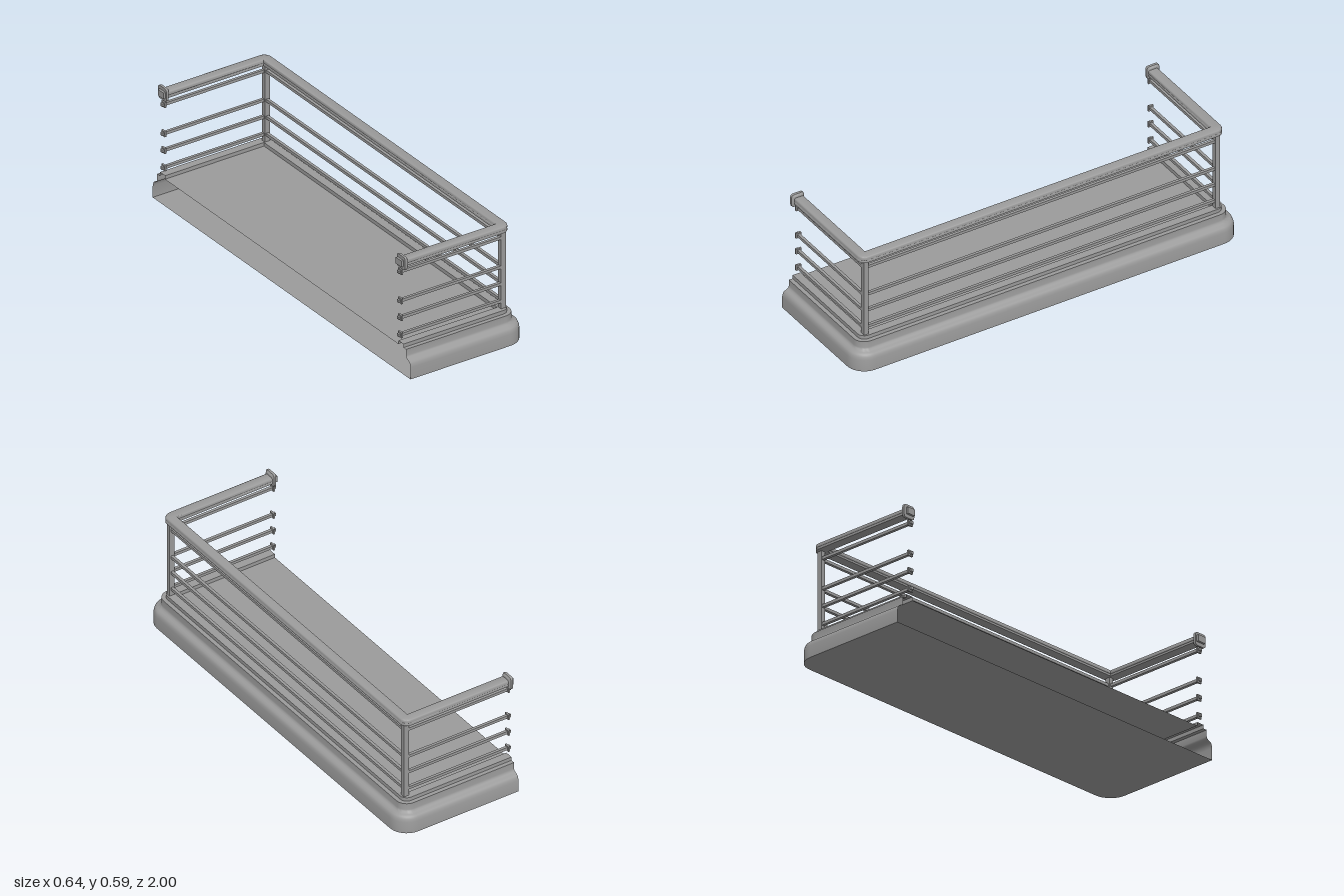
import * as THREE from 'three';
import { toCreasedNormals } from 'three/addons/utils/BufferGeometryUtils.js';

const HX = 0.318, HZ = 1, BACK = -0.307, R = 0.09;
const BAR_END = -0.318, RAIL_X = 0.241, RAIL_Z = 0.923, BAR_Z = 0.918;
const grey = new THREE.MeshStandardMaterial({ color: 0x9b9b9b, side: THREE.DoubleSide });

// U-shaped outline, inset by d, open towards -x; returns [x, z] pairs
function outline(d) {
  const r = Math.max(R - d, 0), cx = HX - d - r, cz = HZ - d - r, n = 10;
  const half = [[BACK, HZ - d]];
  for (let i = 0; i <= n; i++) {
    const a = (Math.PI / 2) * (1 - i / n);
    half.push([cx + r * Math.cos(a), cz + r * Math.sin(a)]);
  }
  return [...half, ...half.map(([x, z]) => [x, -z]).reverse()];
}

// Sweeps a profile of [inset, y] points along the U-shaped outline
function sweep(profile) {
  const rows = profile.map(([d]) => outline(d));
  const n = rows[0].length, pos = [], idx = [];
  rows.forEach((row, j) => row.forEach(([x, z]) => pos.push(x, profile[j][1], z)));
  for (let j = 0; j < rows.length - 1; j++) {
    for (let i = 0; i < n - 1; i++) {
      const a = j * n + i, b = a + 1, c = a + n, e = c + 1;
      idx.push(a, b, c, b, e, c);
    }
  }
  const g = new THREE.BufferGeometry();
  g.setAttribute('position', new THREE.Float32BufferAttribute(pos, 3));
  g.setIndex(idx);
  return toCreasedNormals(g, 1);
}

function add(parent, name, geometry, x = 0, y = 0, z = 0) {
  const m = new THREE.Mesh(geometry, grey);
  m.name = name;
  m.position.set(x, y, z);
  parent.add(m);
}

const box = (w, h, d) => new THREE.BoxGeometry(w, h, d);

// Rounded wall plate, flat at the wall and tapering towards the rail (+x)
function wallPlate(w, h, c, depth) {
  const s = new THREE.Shape();
  s.moveTo(-w + c, -h).lineTo(w - c, -h).quadraticCurveTo(w, -h, w, -h + c)
    .lineTo(w, h - c).quadraticCurveTo(w, h, w - c, h)
    .lineTo(-w + c, h).quadraticCurveTo(-w, h, -w, h - c)
    .lineTo(-w, -h + c).quadraticCurveTo(-w, -h, -w + c, -h);
  const g = new THREE.ExtrudeGeometry(s, { depth, steps: 3, bevelEnabled: false, curveSegments: 4 });
  const p = g.attributes.position;
  for (let i = 0; i < p.count; i++) {
    const k = p.getZ(i) > depth * 0.9 ? 0.75 : 1;
    p.setXY(i, p.getX(i) * k, p.getY(i) * k);
  }
  return toCreasedNormals(g.rotateY(Math.PI / 2), 0.6);
}

export function createModel() {
  const model = new THREE.Group();
  model.name = 'balcony';

  // Moulded slab edge with bullnose, ledge and raised curb; open at the wall
  add(model, 'slabMoulding', sweep([
    [0, 0], [0, 0.058], [0.003, 0.071], [0.008, 0.082], [0.018, 0.087], [0.027, 0.091],
    [0.033, 0.096], [0.035, 0.104], [0.035, 0.135], [0.055, 0.135], [0.055, 0.153],
    [0.095, 0.153], [0.095, 0.135],
  ]));

  // Floor inside the curb
  const floorX = HX - 0.095;
  const floor = new THREE.PlaneGeometry(floorX - BACK, 2 * (HZ - 0.095)).rotateX(-Math.PI / 2);
  add(model, 'floor', floor, (floorX + BACK) / 2, 0.135, 0);

  // Underside, following the rounded outline
  const under = new THREE.Shape(outline(0).map(([x, z]) => new THREE.Vector2(x, z)));
  add(model, 'underside', new THREE.ShapeGeometry(under).rotateX(Math.PI / 2));

  // Handrail with a shallow groove along its sides
  const half = [[0.053, 0.544], [0.053, 0.553], [0.056, 0.556], [0.053, 0.559],
    [0.053, 0.569], [0.055, 0.573], [0.06, 0.575]];
  const inner = half.map(([d, y]) => [0.154 - d, y]).reverse();
  add(model, 'handrail', sweep([...half, ...inner, half[0]]));

  // Corner posts
  for (const s of [1, -1]) {
    add(model, 'cornerPost', box(0.026, 0.4, 0.022), RAIL_X, 0.35, s * 0.916);
  }

  // Horizontal bars on three sides, with wall collars
  for (const y of [0.189, 0.276, 0.361, 0.508]) {
    add(model, 'frontBar', box(0.014, 0.014, 2 * BAR_Z), RAIL_X, y, 0);
    for (const s of [1, -1]) {
      const z = s * BAR_Z;
      add(model, 'sideBar', box(RAIL_X - BAR_END, 0.014, 0.014), (RAIL_X + BAR_END) / 2, y, z);
      add(model, 'barCollar', box(0.009, 0.027, 0.027), -0.304, y, z);
    }
  }

  // Handrail wall plates and the rail stubs behind them
  const plate = wallPlate(0.032, 0.032, 0.014, 0.018);
  for (const s of [1, -1]) {
    add(model, 'handrailPlate', plate, BACK, 0.559, s * (RAIL_Z + 0.003));
    add(model, 'handrailStub', box(0.02, 0.031, 0.044), BAR_END + 0.01, 0.5595, s * RAIL_Z);
  }
  return model;
}
